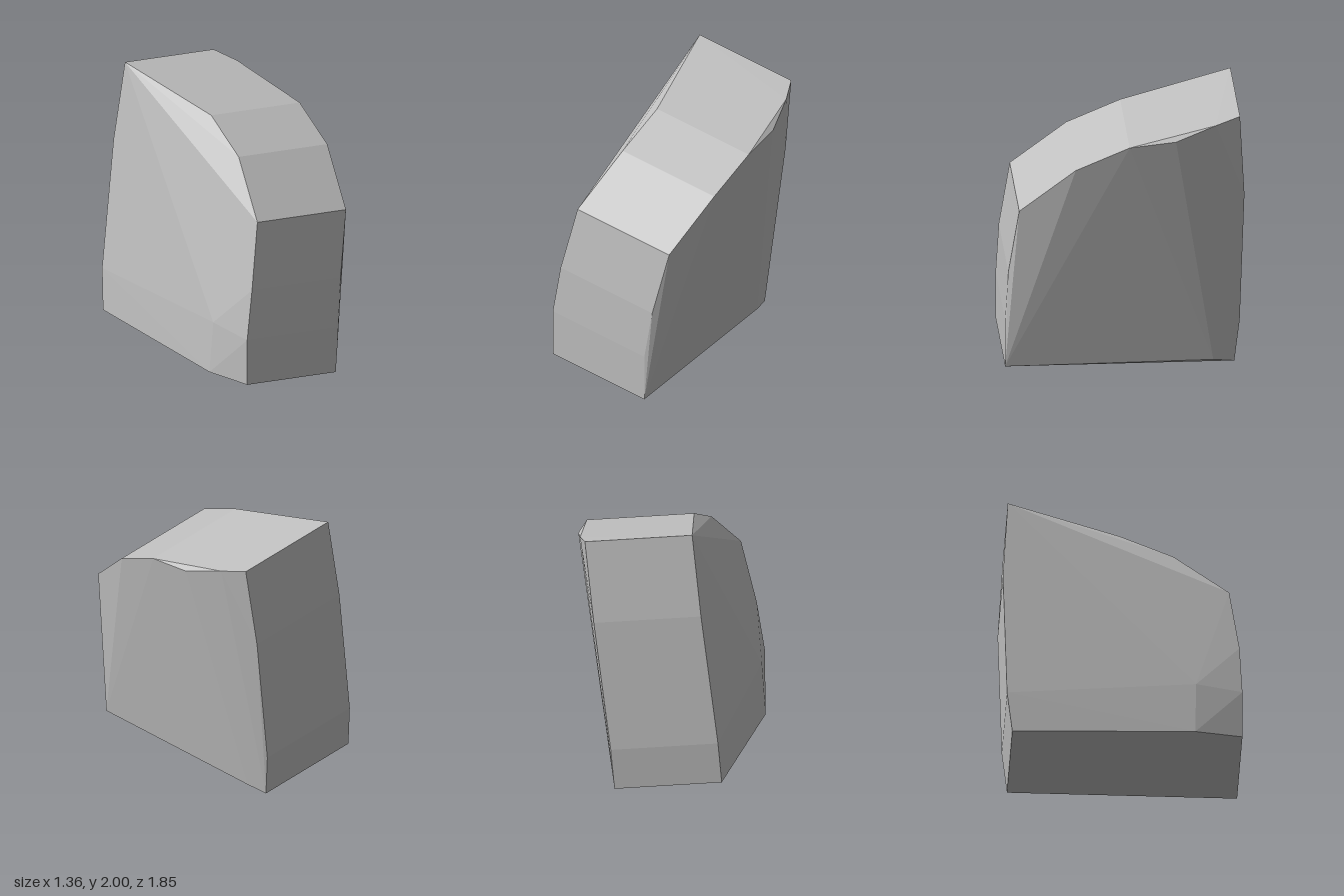
import * as THREE from 'three';
import { ConvexGeometry } from 'three/addons/geometries/ConvexGeometry.js';

export function createModel() {
  const group = new THREE.Group();
  group.name = 'stoneBlock';
  const stone = new THREE.MeshStandardMaterial({ color: 0xc0c0c0 });
  stone.name = 'grey stone';

  // Outline of the right-hand side, from the bottom front over the top to the bottom back
  const outline = [
    [-0.24, 0.14, 0.92], [-0.24, 0.49, 0.92], [-0.19, 0.86, 0.89],
    [-0.11, 1.34, 0.80], [-0.08, 1.67, 0.39], [-0.13, 1.84, 0.01],
    [-0.48, 2.00, -0.73], [-0.56, 1.40, -0.75], [-0.67, 0.43, -0.70],
    [-0.68, 0.12, -0.66],
  ].map((p) => new THREE.Vector3(...p));

  // The left-hand side repeats the outline, shifted across the block
  const across = new THREE.Vector3(0.76, -0.12, -0.18);
  const opposite = outline.map((p) => p.clone().add(across));

  // Slight bulges that break up the two broad sides
  const bulges = [
    [-0.40, 0.135, 0.61], [-0.37, 0.52, 0.61],
    [0.54, 1.75, -0.49], [0.395, 1.84, -0.755], [0.155, 0.025, -0.70],
  ].map((p) => new THREE.Vector3(...p));

  const block = new THREE.Mesh(new ConvexGeometry([...outline, ...opposite, ...bulges]), stone);
  block.name = 'stone';
  group.add(block);
  return group;
}
